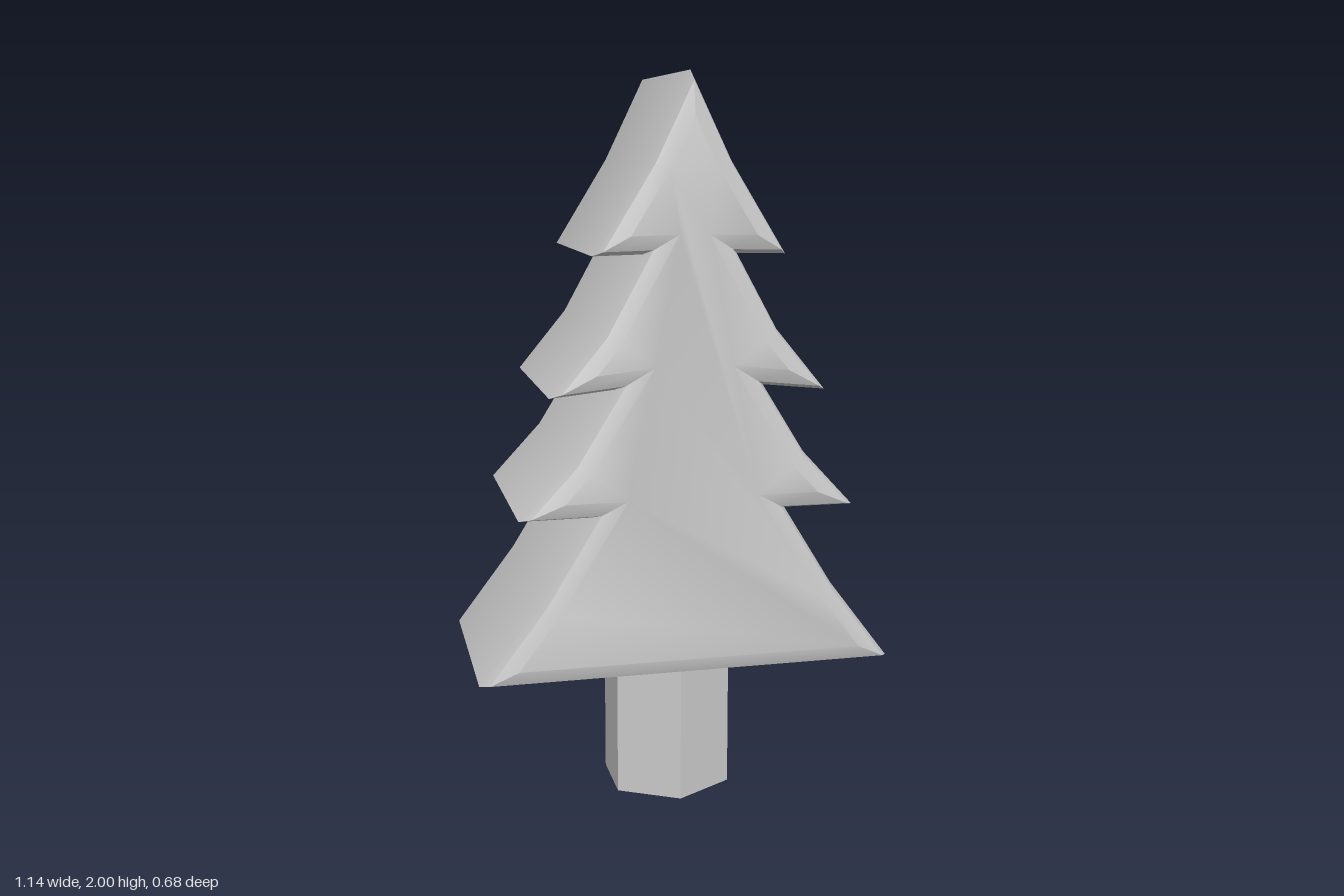
import * as THREE from 'three';
import { toCreasedNormals } from 'three/addons/utils/BufferGeometryUtils.js';

// Right half of the tree outline, bottom to top: tip, bend, notch of each tier
const HALF = [
  [0.568, 0.414], [0.4, 0.636], [0.265, 0.856],
  [0.456, 0.855], [0.315, 1.007], [0.2, 1.193],
  [0.371, 1.175], [0.235, 1.34], [0.125, 1.54],
  [0.256, 1.537], [0.109, 1.775],
];

// Bevel profile: [inset from outline, z]
const BEVEL = [[0.05, 0.34], [0.012, 0.325], [0, 0.285]];

// Moves every edge of a counter-clockwise outline inwards, with mitred corners
function insetOutline(points, d) {
  const n = points.length;
  return points.map((p, i) => {
    const a = p.clone().sub(points[(i + n - 1) % n]).normalize();
    const b = points[(i + 1) % n].clone().sub(p).normalize();
    const na = new THREE.Vector2(-a.y, a.x);
    const nb = new THREE.Vector2(-b.y, b.x);
    const k = d / (1 + na.dot(nb));
    return p.clone().addScaledVector(na.add(nb), k);
  });
}

// Thick slab of the outline with bevelled front and back rims
function bevelledSlab(outline) {
  const n = outline.length;
  const back = BEVEL.map(([d, z]) => [d, -z]);
  const rings = [...back, ...BEVEL.slice().reverse()];
  const positions = [];
  const index = [];
  for (const [d, z] of rings) {
    for (const p of insetOutline(outline, d)) positions.push(p.x, p.y, z);
  }
  // Side walls and bevels
  for (let r = 0; r < rings.length - 1; r++) {
    for (let i = 0; i < n; i++) {
      const j = (i + 1) % n;
      const a = r * n + i, b = r * n + j, c = b + n, e = a + n;
      index.push(a, b, c, a, c, e);
    }
  }
  // Front and back faces
  const top = (rings.length - 1) * n;
  const cap = THREE.ShapeUtils.triangulateShape(insetOutline(outline, BEVEL[0][0]), []);
  for (const [a, b, c] of cap) {
    index.push(top + a, top + b, top + c, c, b, a);
  }
  const geometry = new THREE.BufferGeometry();
  geometry.setAttribute('position', new THREE.Float32BufferAttribute(positions, 3));
  geometry.setIndex(index);
  return toCreasedNormals(geometry, 0.5);
}

export function createModel() {
  const tree = new THREE.Group();
  tree.name = 'tree';

  // Tiered foliage
  const right = HALF.map(([x, y]) => new THREE.Vector2(x, y));
  const left = HALF.map(([x, y]) => new THREE.Vector2(-x, y)).reverse();
  const outline = [...right, new THREE.Vector2(0, 2), ...left];
  const foliage = new THREE.Mesh(
    bevelledSlab(outline),
    new THREE.MeshStandardMaterial({ color: 0xcccccc })
  );
  foliage.name = 'foliage';
  tree.add(foliage);

  // Six-sided trunk, set slightly forward
  const trunk = new THREE.Mesh(
    new THREE.CylinderGeometry(0.187, 0.187, 0.46, 6),
    new THREE.MeshStandardMaterial({ color: 0xcccccc, flatShading: true })
  );
  trunk.name = 'trunk';
  trunk.position.set(0, 0.23, 0.012);
  tree.add(trunk);

  return tree;
}
